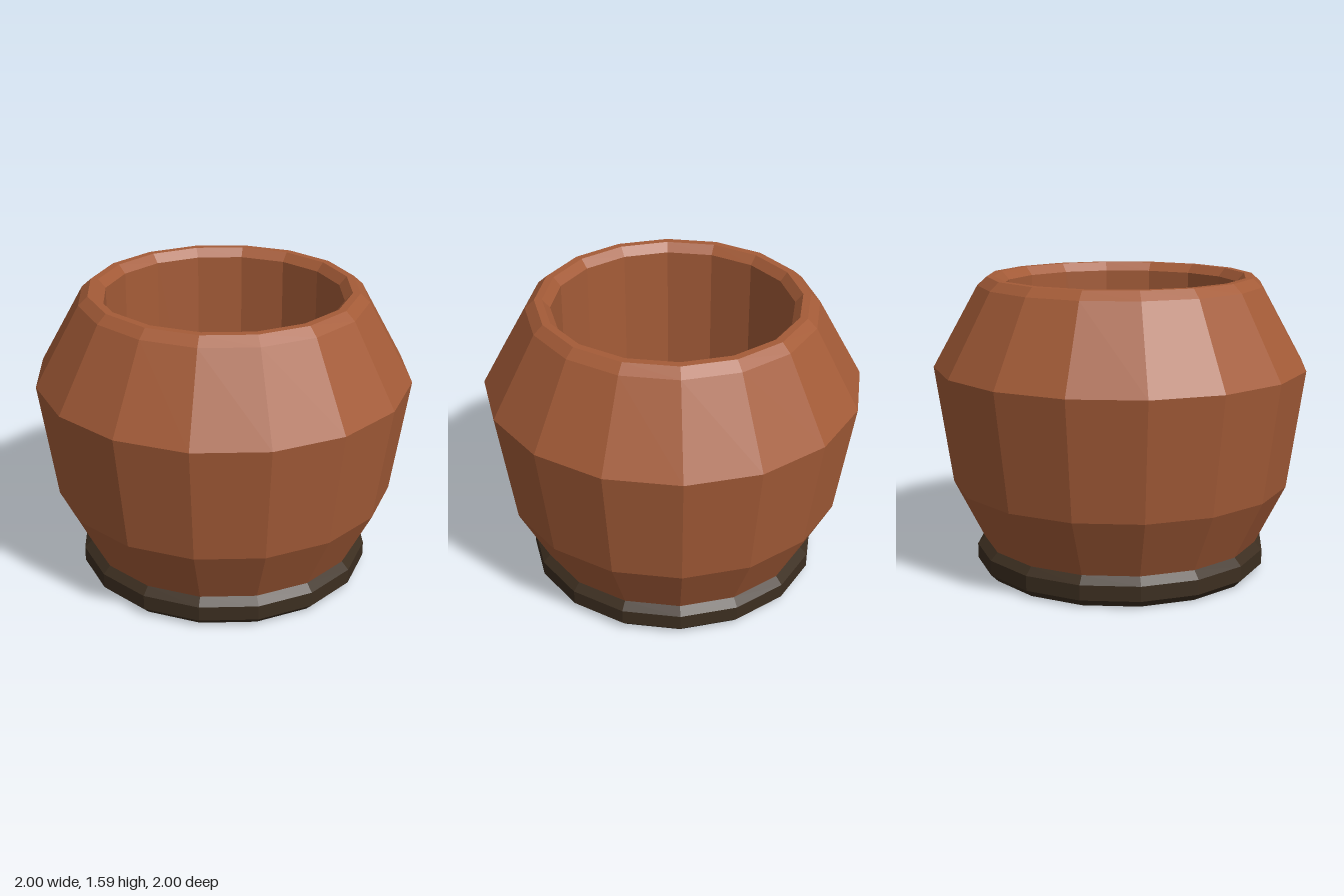
import * as THREE from 'three';

const SIDES = 16;

// Faceted solid of revolution from [radius, height] pairs
function turned(name, profile, color) {
  const points = profile.map(([r, y]) => new THREE.Vector2(r, y));
  const material = new THREE.MeshStandardMaterial({ color, flatShading: true });
  const mesh = new THREE.Mesh(new THREE.LatheGeometry(points, SIDES), material);
  mesh.name = name;
  return mesh;
}

export function createModel() {
  const group = new THREE.Group();
  group.name = 'pot';

  // Clay body: outer wall, bevelled rim, then straight inner wall down to the base
  group.add(turned('potBody', [
    [0.75, 0.16], [0.91, 0.48], [1, 1.11], [0.76, 1.54],
    [0.71, 1.585], [0.67, 1.585], [0.63, 1.54], [0.63, 0.16],
  ], 0xa55c38));

  // Dark bevelled foot, whose top is also the floor inside
  group.add(turned('base', [
    [0, 0], [0.75, 0], [0.79, 0.04], [0.79, 0.12], [0.75, 0.16], [0, 0.16],
  ], 0x3c2e20));

  return group;
}
